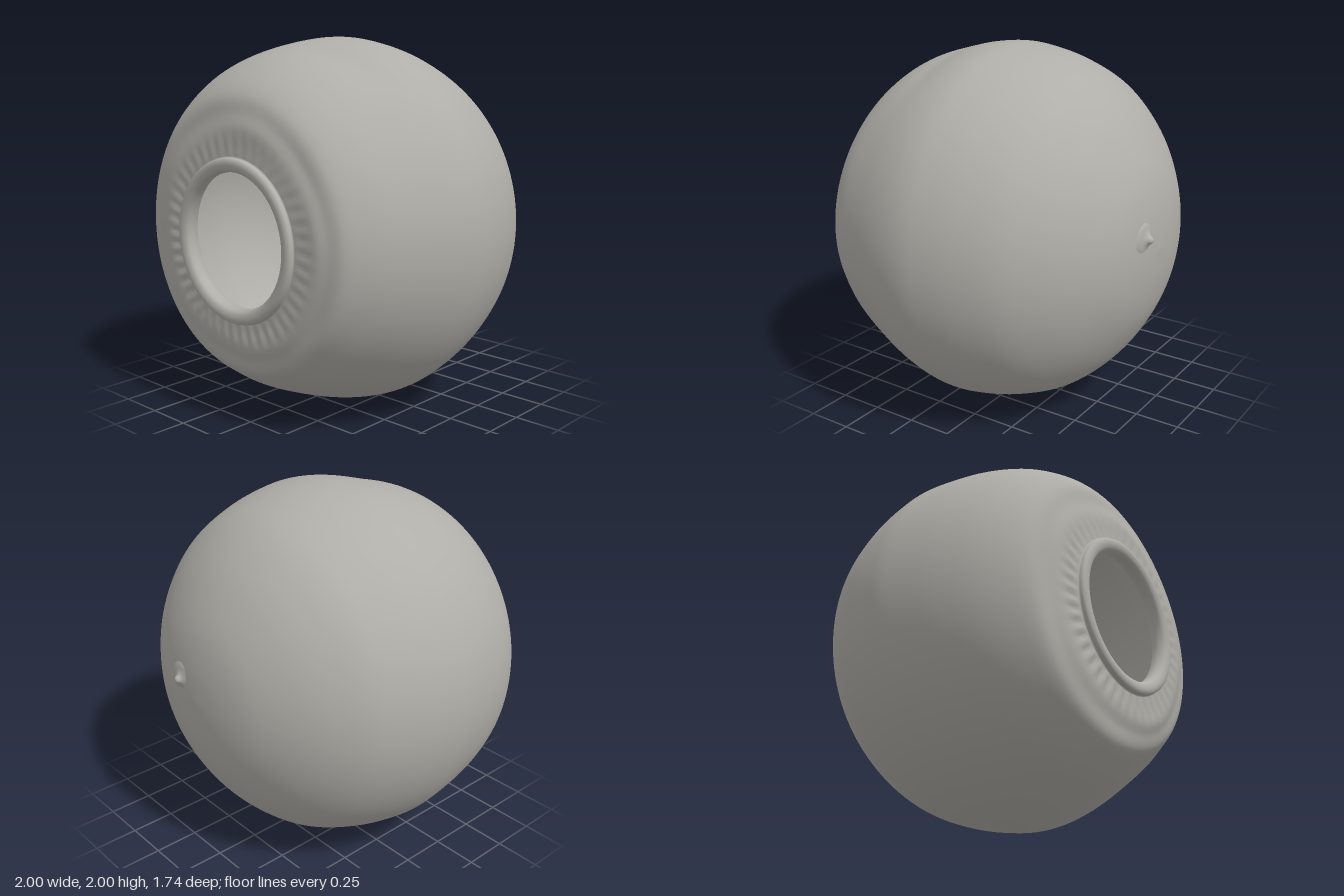
import * as THREE from 'three';
import { mergeVertices } from 'three/addons/utils/BufferGeometryUtils.js';

const SEGMENTS = 192;

// Smooth profile (radius, z) through a few points
const profile = (pts, n) =>
  new THREE.SplineCurve(pts.map(([r, z]) => new THREE.Vector2(r, z))).getPoints(n)
    .map((p) => p.set(Math.max(p.x, 0), p.y));

// Turn a profile around the z axis, then bend its points by a rule
function turn(points, rule, segments = SEGMENTS) {
  let g = new THREE.LatheGeometry(points, segments);
  g.rotateX(Math.PI / 2);
  g.deleteAttribute('uv');
  g.deleteAttribute('normal');
  const p = g.attributes.position;
  const v = new THREE.Vector3();
  for (let i = 0; i < p.count; i++) {
    v.fromBufferAttribute(p, i);
    if (rule) rule(v);
    p.setXYZ(i, v.x, v.y, v.z);
  }
  g = mergeVertices(g, 1e-5);
  g.computeVertexNormals();
  return g;
}

const bump = (x, centre, width) => Math.exp(-(((x - centre) / width) ** 2));

// Hand-made unevenness: lopsided shoulder, wavy collar, crimped neck
function handShaped(v) {
  const r = Math.hypot(v.x, v.y);
  const a = Math.atan2(v.y, v.x);
  const shoulder = THREE.MathUtils.smoothstep(v.z, 0.12, 0.6)
    * THREE.MathUtils.smoothstep(r, 0.5, 0.7);
  const k = 1 + shoulder * (-0.03 * Math.cos(a + 0.25) - 0.01 + 0.008 * Math.cos(3 * a + 0.6));
  v.x *= k;
  v.y *= k;
  if (v.z > 0.78 && r > 0.43) {
    const lower = 0.35 + 0.65 * Math.max(0, Math.cos(a + 2.3));
    v.z += 0.007 * lower * bump(r, 0.49, 0.05) * Math.sin(44 * a + 9 * r);
    v.z += 0.005 * bump(r, 0.6, 0.06) * Math.sin(5 * a + 1);
  }
  // shallow dent on top towards the mouth
  v.y -= 0.015 * bump(v.z, 0.36, 0.1) * bump(a, 1.25, 0.35) * (r > 0.8 ? 1 : 0);
  // the mouth sits slightly off axis
  const mouth = THREE.MathUtils.smoothstep(v.z, 0.7, 0.85);
  v.x += 0.008 * mouth;
  v.y -= 0.015 * mouth;
}

export function createModel() {
  const model = new THREE.Group();
  model.name = 'roundPot';
  const clay = new THREE.MeshStandardMaterial({ color: 0xb0aea8 });
  clay.name = 'grey clay';

  const add = (name, geometry, x = 0, y = 1, z = 0) => {
    const mesh = new THREE.Mesh(geometry, clay);
    mesh.name = name;
    mesh.position.set(x, y, z);
    model.add(mesh);
  };

  // Outer wall, from the base up to the neck
  const outer = profile([
    [0, -0.845], [0.2, -0.828], [0.4, -0.775], [0.6, -0.665], [0.75, -0.54],
    [0.87, -0.39], [0.95, -0.2], [0.99, -0.03], [1, 0.1], [0.975, 0.28],
    [0.935, 0.43], [0.875, 0.58], [0.8, 0.7], [0.72, 0.785], [0.63, 0.812],
    [0.56, 0.832], [0.47, 0.836], [0.425, 0.838],
  ], 110);
  // Rolled lip around the mouth
  const lip = profile([
    [0.422, 0.842], [0.42, 0.86], [0.405, 0.87], [0.385, 0.871],
    [0.365, 0.864], [0.353, 0.85], [0.348, 0.82], [0.36, 0.785],
  ], 24);
  // Hollow inside
  const inner = profile([
    [0.37, 0.778], [0.5, 0.755], [0.68, 0.71], [0.83, 0.52], [0.91, 0.3], [0.94, 0.1],
    [0.89, -0.18], [0.71, -0.49], [0.4, -0.71], [0, -0.785],
  ], 60);
  add('potBody', turn([...outer, ...lip, ...inner], handShaped));

  // Small pinched nub on the base
  const nub = profile([
    [0, -0.032], [0.014, -0.027], [0.026, -0.01], [0.045, 0], [0.075, 0.008], [0.09, 0.016],
  ], 20);
  add('baseNub', turn(nub, null, 32), 0.14, 1.09, -0.838);

  return model;
}
